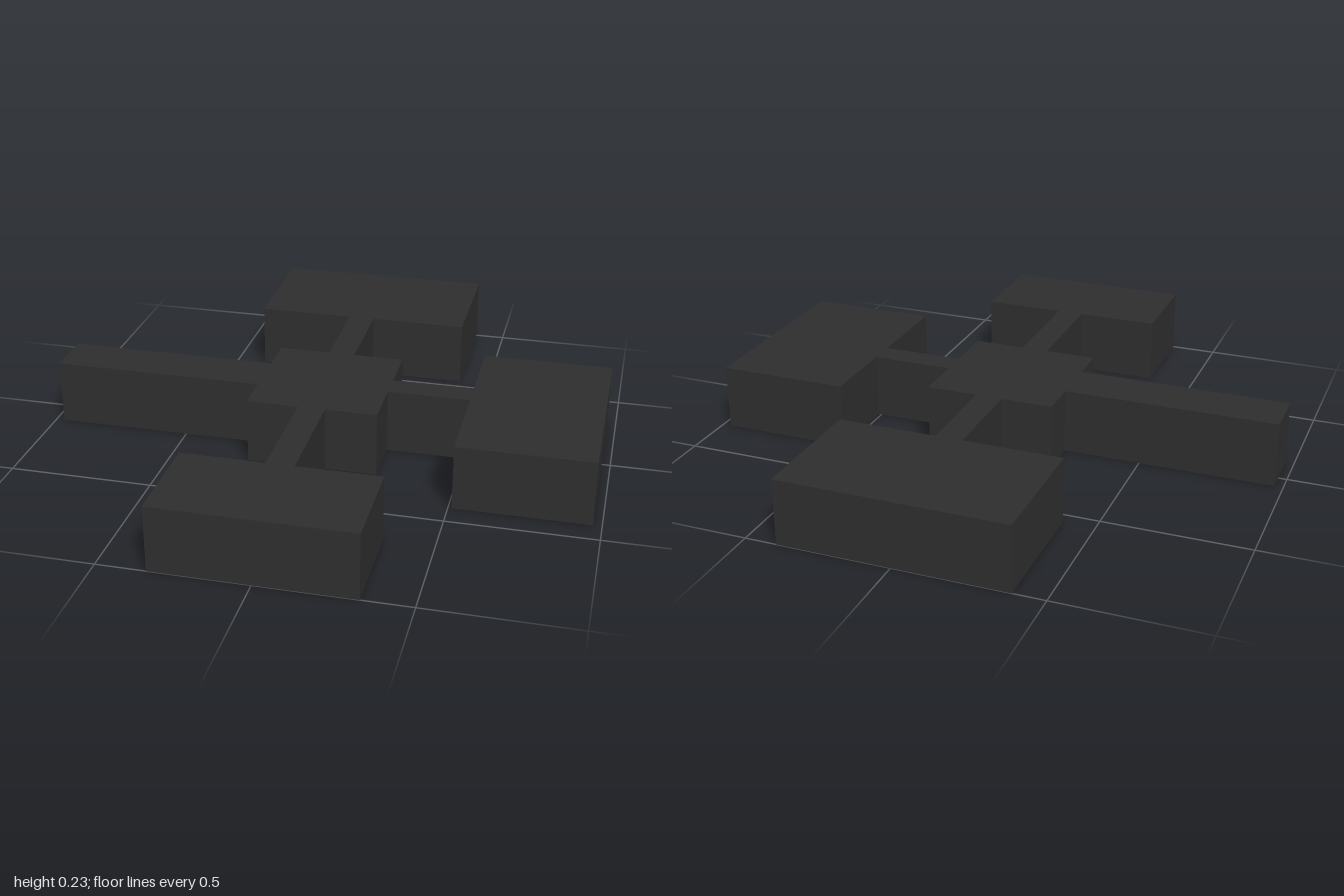
import * as THREE from 'three';

const HEIGHT = 0.228;

// Footprints on the ground: [name, x min, x max, z min, z max]
const FOOTPRINTS = [
  ['centralHub', -0.228, 0.226, -0.202, 0.252],
  ['backCorridor', -0.047, 0.047, -0.546, -0.202],
  ['backBlock', -0.391, 0.391, -1, -0.546],
  ['frontCorridor', -0.047, 0.047, 0.252, 0.655],
  ['frontBlock', -0.333, 0.333, 0.655, 1],
  ['leftCorridor', 0.226, 0.512, -0.025, 0.068],
  ['leftBlock', 0.512, 0.97, -0.308, 0.414],
  ['rightWing', -0.97, -0.228, -0.063, 0.115],
];

export function createModel() {
  const model = new THREE.Group();
  model.name = 'crossShapedBlocks';

  const charcoal = new THREE.MeshStandardMaterial({ color: 0x2e2e2e });
  charcoal.name = 'charcoal';

  // Every part is a flat-topped slab of the same height, butted to its neighbour
  for (const [name, x0, x1, z0, z1] of FOOTPRINTS) {
    const slab = new THREE.Mesh(new THREE.BoxGeometry(x1 - x0, HEIGHT, z1 - z0), charcoal);
    slab.name = name;
    slab.position.set((x0 + x1) / 2, HEIGHT / 2, (z0 + z1) / 2);
    model.add(slab);
  }
  return model;
}
